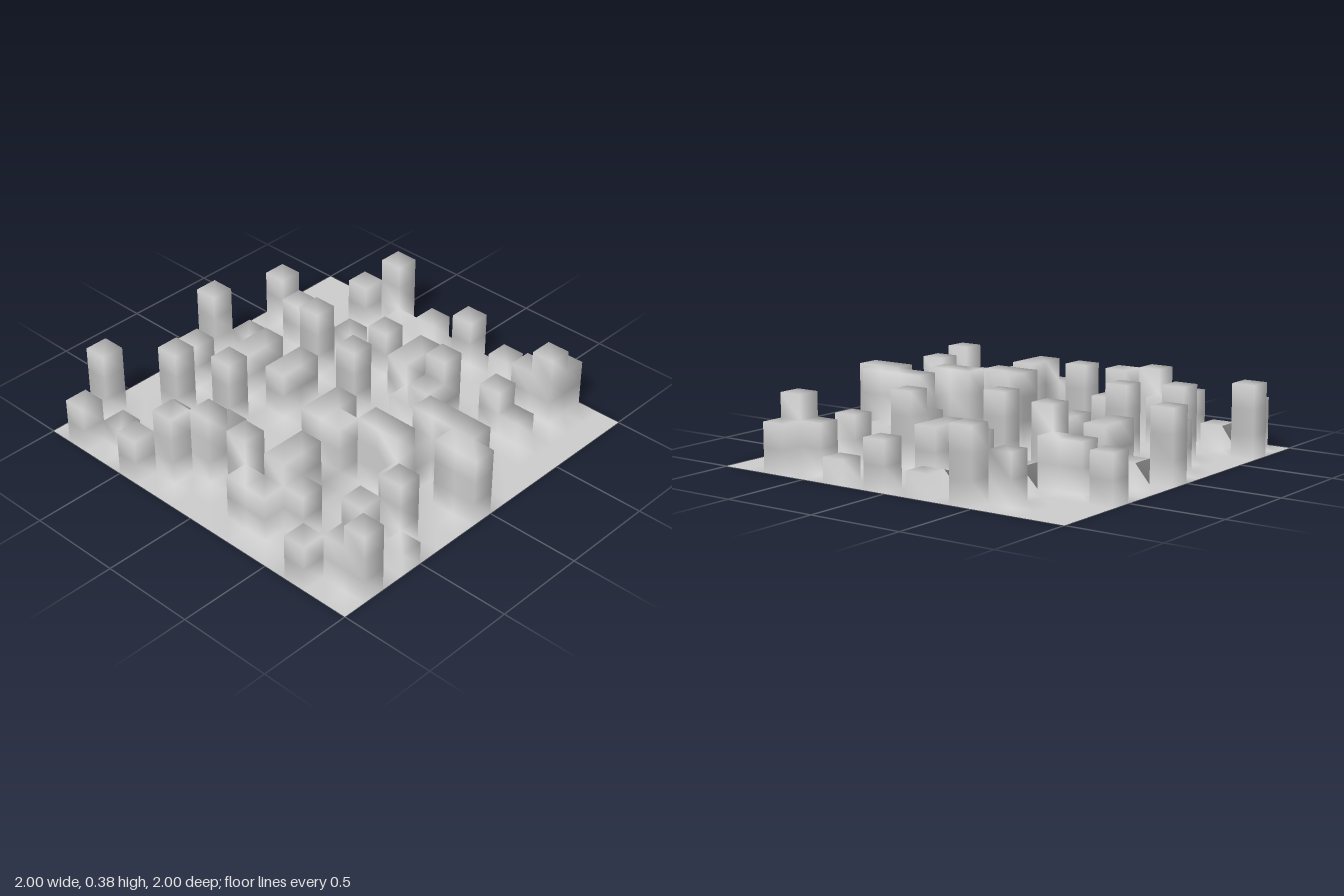
import * as THREE from 'three';
import { mergeVertices } from 'three/addons/utils/BufferGeometryUtils.js';

// Block heights on a 16 x 16 plot, back row first, left to right along +x
const HEIGHTS = [
  '0030000030002000',
  '2000002001000000',
  '0100300000020000',
  '0000000220020020',
  '2020030000301003',
  '0300000220000010',
  '0032000000002001',
  '0000000003000000',
  '0030000000022002',
  '0200033000100000',
  '0233130000230001',
  '0020003000000000',
  '0000003231102020',
  '2002020031001032',
  '0200300330000000',
  '0301000300000000',
];
const N = HEIGHTS.length;
const CELL = 2 / N;

const heightAt = (c, r) => (c < 0 || r < 0 || c >= N || r >= N ? 0 : Number(HEIGHTS[r][c]));

// One continuous skin: a top per cell, and a wall square per exposed block side
function buildSkin() {
  const positions = [];
  const put = ([x, y, z]) => positions.push(x * CELL - 1, y * CELL, z * CELL - 1);
  const quad = (a, b, c, d) => [a, b, d, b, c, d].forEach(put);

  // Neighbour offset, then the wall's two lower corners, left to right seen from outside
  const sides = [
    { dc: 0, dr: 1, from: [0, 1], to: [1, 1] },
    { dc: 1, dr: 0, from: [1, 1], to: [1, 0] },
    { dc: 0, dr: -1, from: [1, 0], to: [0, 0] },
    { dc: -1, dr: 0, from: [0, 0], to: [0, 1] },
  ];

  for (let r = 0; r < N; r++) {
    for (let c = 0; c < N; c++) {
      const h = heightAt(c, r);
      quad([c, h, r], [c, h, r + 1], [c + 1, h, r + 1], [c + 1, h, r]);
      for (const { dc, dr, from, to } of sides) {
        for (let y = heightAt(c + dc, r + dr); y < h; y++) {
          const [x0, z0] = [c + from[0], r + from[1]];
          const [x1, z1] = [c + to[0], r + to[1]];
          quad([x0, y, z0], [x1, y, z1], [x1, y + 1, z1], [x0, y + 1, z0]);
        }
      }
    }
  }

  // Shared corners give the soft shading over the blocks
  const geometry = new THREE.BufferGeometry();
  geometry.setAttribute('position', new THREE.Float32BufferAttribute(positions, 3));
  const merged = mergeVertices(geometry, 1e-4);
  merged.computeVertexNormals();
  return merged;
}

export function createModel() {
  const group = new THREE.Group();
  group.name = 'blockTerrain';
  const material = new THREE.MeshStandardMaterial({ color: 0xcccccc, side: THREE.DoubleSide });
  const terrain = new THREE.Mesh(buildSkin(), material);
  terrain.name = 'groundAndBlocks';
  group.add(terrain);
  return group;
}
